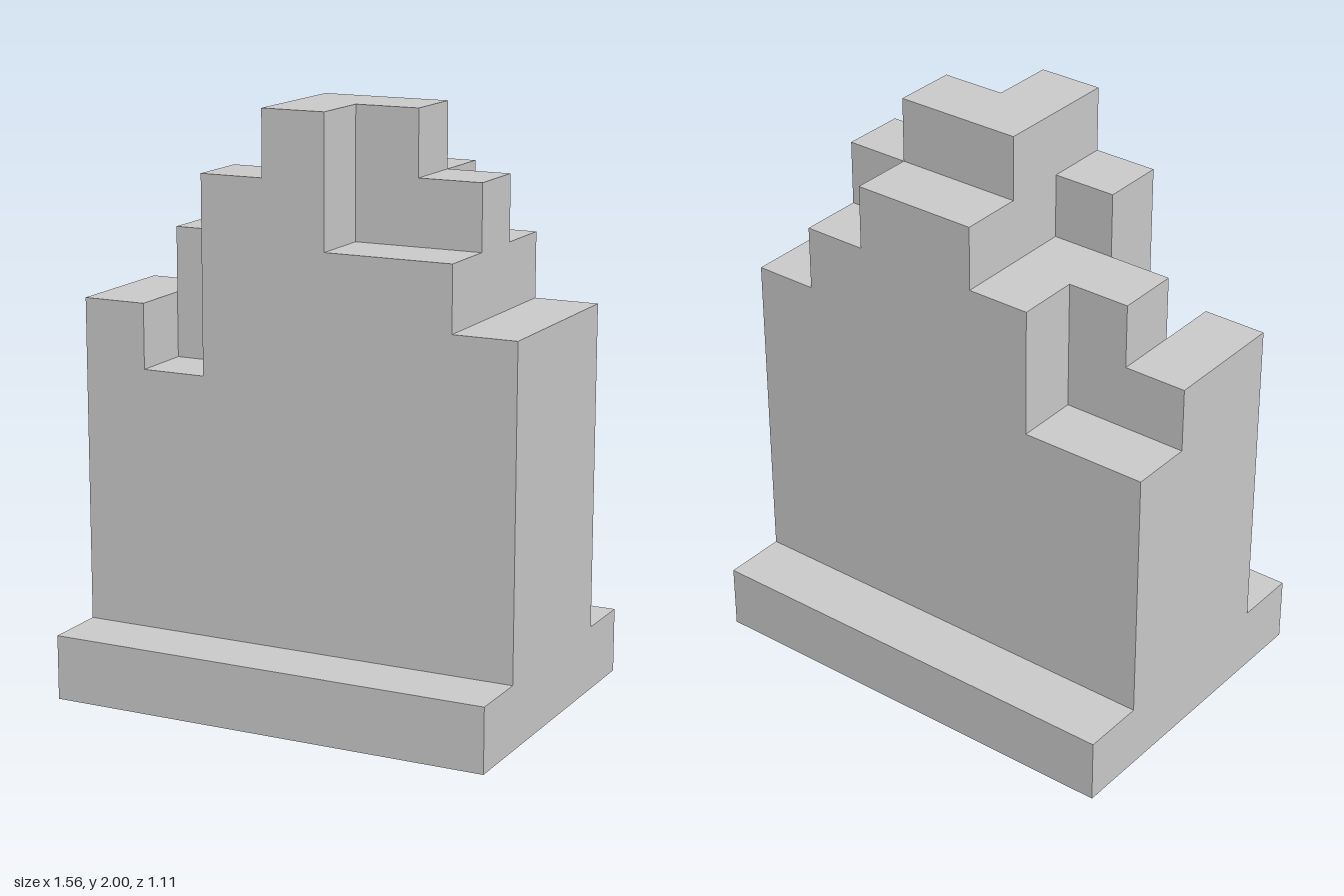
import * as THREE from 'three';
import { mergeGeometries } from 'three/addons/utils/BufferGeometryUtils.js';

const U = 2 / 9; // edge of one block

// Wall height in blocks: rows run back to front, columns from -x to +x
const HEIGHTS = [
  [5, 5, 7, 8, 8, 7, 6],
  [6, 7, 7, 9, 9, 8, 6],
  [6, 5, 8, 9, 7, 7, 6],
];
const PLINTH = 1; // plinth height in blocks

// Only the exposed faces of the stepped block columns
function steppedGeometry(heights, base) {
  const rows = heights.length, cols = heights[0].length;
  const heightAt = (r, c) => heights[r]?.[c] ?? base;
  const faces = [];
  for (let r = 0; r < rows; r++) {
    for (let c = 0; c < cols; c++) {
      const h = heights[r][c];
      const x = (c - (cols - 1) / 2) * U;
      const z = (r - (rows - 1) / 2) * U;
      // Top
      faces.push(new THREE.PlaneGeometry(U, U).rotateX(-Math.PI / 2).translate(x, h * U, z));
      // Sides, down to the neighbouring column
      for (const [dx, dz] of [[1, 0], [-1, 0], [0, 1], [0, -1]]) {
        const low = heightAt(r + dz, c + dx);
        if (low >= h) continue;
        faces.push(new THREE.PlaneGeometry(U, (h - low) * U)
          .rotateY(Math.atan2(dx, dz))
          .translate(x + dx * U / 2, (h + low) * U / 2, z + dz * U / 2));
      }
    }
  }
  return mergeGeometries(faces);
}

export function createModel() {
  const group = new THREE.Group();
  group.name = 'steppedMonument';
  const material = new THREE.MeshStandardMaterial({ color: 0xcccccc, flatShading: true });

  // Plinth
  const plinth = new THREE.Mesh(new THREE.BoxGeometry(7 * U, PLINTH * U, 5 * U), material);
  plinth.position.y = PLINTH * U / 2;
  plinth.name = 'plinth';

  // Wall with stepped, broken crest
  const wall = new THREE.Mesh(steppedGeometry(HEIGHTS, PLINTH), material);
  wall.name = 'steppedWall';

  group.add(plinth, wall);
  return group;
}
